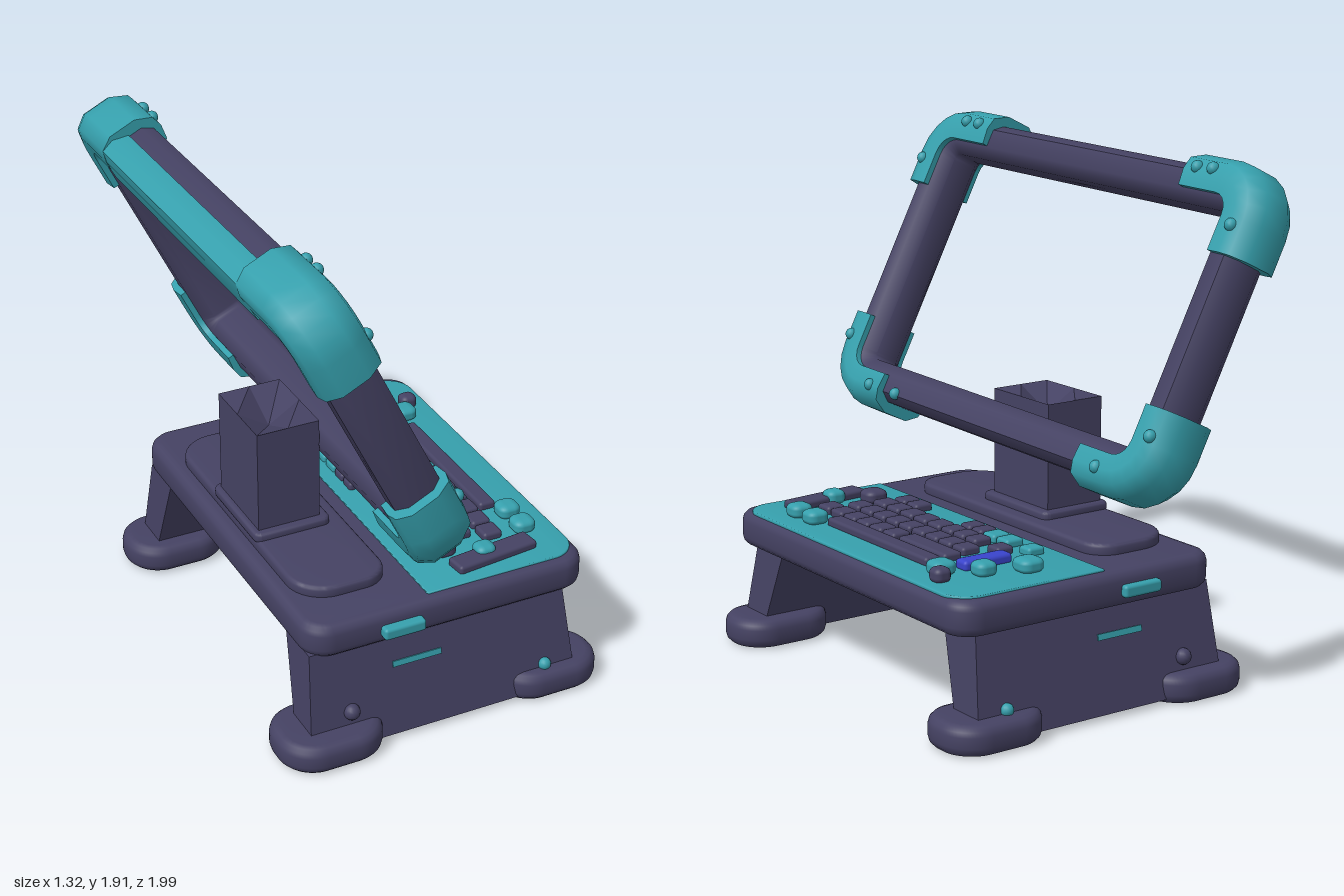
import * as THREE from 'three';
import { toCreasedNormals } from 'three/addons/utils/BufferGeometryUtils.js';
import { RoundedBoxGeometry } from 'three/addons/geometries/RoundedBoxGeometry.js';

export function createModel() {
  const model = new THREE.Group();
  const mat = (name, color) => {
    const m = new THREE.MeshStandardMaterial({ color });
    m.name = name;
    return m;
  };
  const dark = mat('dark purple', 0x454263);
  const teal = mat('teal', 0x36a0ad);
  const blue = mat('display blue', 0x3a44cc);

  const add = (name, geo, material, parent = model) => {
    const mesh = new THREE.Mesh(geo, material);
    mesh.name = name;
    parent.add(mesh);
    return mesh;
  };

  // Horizontal rounded plate with softened edges
  function plate(name, [x0, x1], [z0, z1], [y0, y1], r, bevel, material) {
    const w = (x1 - x0) / 2 - bevel, d = (z1 - z0) / 2 - bevel;
    const radii = Array.isArray(r) ? r : [r, r]; // back side, keyboard side
    const [a, b] = radii.map((v) => Math.max(v - bevel, 0.005));
    const s = new THREE.Shape();
    s.absarc(w - b, d - b, b, 0, Math.PI / 2);
    s.absarc(-w + a, d - a, a, Math.PI / 2, Math.PI);
    s.absarc(-w + a, -d + a, a, Math.PI, Math.PI * 1.5);
    s.absarc(w - b, -d + b, b, Math.PI * 1.5, Math.PI * 2);
    const geo = new THREE.ExtrudeGeometry(s, {
      depth: y1 - y0 - 2 * bevel, bevelEnabled: bevel > 0,
      bevelSize: bevel, bevelThickness: bevel, bevelSegments: 3, curveSegments: 8,
    });
    geo.rotateX(-Math.PI / 2).translate((x0 + x1) / 2, y0 + bevel, (z0 + z1) / 2);
    return add(name, toCreasedNormals(geo, 0.7), material);
  }

  // Sweep a section [outward, depth] along a path of {p, n} in the frame plane
  function sweep(path, section, closed) {
    const pos = [], idx = [], k = section.length;
    for (const { p, n } of path)
      for (const [a, d] of section) pos.push(p[0] + n[0] * a, p[1] + n[1] * a, d);
    const rings = closed ? path.length : path.length - 1;
    for (let i = 0; i < rings; i++)
      for (let j = 0; j < k; j++) {
        const a = i * k + j, b = i * k + (j + 1) % k;
        const c = ((i + 1) % path.length) * k + j, d = ((i + 1) % path.length) * k + (j + 1) % k;
        idx.push(a, b, c, b, d, c);
      }
    if (!closed) {
      const e = (path.length - 1) * k;
      for (let j = 1; j < k - 1; j++) idx.push(0, j + 1, j, e, e + j, e + j + 1);
    }
    const geo = new THREE.BufferGeometry();
    geo.setAttribute('position', new THREE.Float32BufferAttribute(pos, 3));
    geo.setIndex(idx);
    return toCreasedNormals(geo, 0.85);
  }
  const U = 0.88, V = 0.502;
  const corner = (q, r) => {
    const sx = q === 0 || q === 3 ? 1 : -1, sy = q < 2 ? 1 : -1, out = [];
    for (let i = 0; i <= 5; i++) {
      const t = (q + i / 5) * Math.PI / 2, n = [Math.cos(t), Math.sin(t)];
      out.push({ p: [sx * (U - r) + n[0] * r, sy * (V - r) + n[1] * r], n });
    }
    return out;
  };

  // Base slab, keyboard plate and raised pad
  plate('baseSlab', [-0.5, 0.6], [-0.75, 0.73], [0.385, 0.512], 0.1, 0.035, dark);
  plate('keyboardPlate', [-0.03, 0.58], [-0.71, 0.69], [0.505, 0.519], [0.01, 0.1], 0.004, teal);
  plate('standPad', [-0.445, -0.1], [-0.58, 0.56], [0.5, 0.552], [0.14, 0.1], 0.015, dark);
  plate('postFoot', [-0.45, -0.155], [-0.2, 0.19], [0.54, 0.58], 0.03, 0.012, dark);

  // Post with a shallow pit in its top
  const post = new THREE.BoxGeometry(0.24, 0.41, 0.33, 2, 1, 2);
  const pp = post.attributes.position;
  for (let i = 0; i < pp.count; i++)
    if (pp.getY(i) > 0.2 && Math.abs(pp.getX(i)) < 0.01 && Math.abs(pp.getZ(i)) < 0.01) pp.setY(i, 0.13);
  post.translate(-0.308, 0.765, -0.006);
  add('post', toCreasedNormals(post, 0.3), dark);

  // Leg panels: splayed outward and wider at the bottom
  for (const s of [1, -1]) {
    const side = s > 0 ? 'front' : 'back';
    const leg = new THREE.BoxGeometry(1, 1, 1), lp = leg.attributes.position;
    for (let i = 0; i < lp.count; i++) {
      const low = lp.getY(i) < 0, outer = lp.getZ(i) * s > 0;
      const x = lp.getX(i) > 0 ? (low ? 0.54 : 0.505) : (low ? -0.515 : -0.49);
      const z = outer ? (low ? 0.77 : 0.7) : (low ? 0.64 : 0.515);
      lp.setXYZ(i, x, low ? 0.02 : 0.4, s * z);
    }
    add(side + 'Leg', toCreasedNormals(leg, 0.3), dark);

    // Feet
    const inner = 0.54 * s, tipBack = s > 0 ? 0.85 : -0.825, tipFront = s > 0 ? 0.81 : -0.83;
    const span = (a, b) => [Math.min(a, b), Math.max(a, b)];
    plate(side + 'FootRear', [-0.62, -0.23], span(inner, tipBack), [0, 0.108], 0.135, 0.035, dark);
    plate(side + 'FootKeySide', [0.26, 0.65], span(inner, tipFront), [0, 0.108], 0.13, 0.035, dark);

    // Side button, slot and bolts
    add(side + 'Button', new RoundedBoxGeometry(0.16, 0.045, 0.06, 2, 0.012), teal)
      .position.set(-0.15, 0.443, s > 0 ? 0.735 : -0.745);
    const slot = add(side + 'Slot', new THREE.BoxGeometry(0.19, 0.022, 0.008), teal);
    slot.position.set(-0.085, 0.285, s * 0.722);
    slot.rotation.x = -s * 0.18;
    add(side + 'DarkBolt', new THREE.SphereGeometry(0.03, 14, 10), dark).position.set(-0.35, 0.155, s * 0.748);
    add(side + 'TealBolt', new THREE.SphereGeometry(0.024, 14, 10), teal).position.set(0.415, 0.12, s * 0.755);
  }

  // Tilted screen frame: local x = -z, local y = up the slope, local z = out of the face
  const frame = new THREE.Group();
  frame.name = 'screenFrame';
  const tilt = 0.457, c = Math.cos(tilt), sn = Math.sin(tilt);
  const basis = new THREE.Matrix4().makeBasis(
    new THREE.Vector3(0, 0, -1), new THREE.Vector3(-sn, c, 0), new THREE.Vector3(c, sn, 0));
  basis.multiply(new THREE.Matrix4().makeRotationZ(-0.019));
  frame.quaternion.setFromRotationMatrix(basis);
  frame.position.set(-0.315, 1.328, 0);
  model.add(frame);

  const barSection = [[0.065, -0.05], [0.065, 0.05], [0.035, 0.09], [-0.035, 0.09],
    [-0.075, 0.05], [-0.075, -0.05], [-0.035, -0.09], [0.035, -0.09]].reverse();
  add('frameBars', sweep([0, 1, 2, 3].flatMap((q) => corner(q, 0.1)), barSection, true), dark, frame);

  // Corner guards
  const guardSection = [[0.107, -0.06], [0.107, 0.045], [0.075, 0.105], [0.03, 0.118],
    [-0.03, 0.112], [-0.03, -0.112], [0.03, -0.118], [0.075, -0.108]].reverse();
  const ends = [0.585, 0.58, 0.615, 0.61];
  for (let q = 0; q < 4; q++) {
    const arc = corner(q, 0.1), sx = q === 0 || q === 3 ? 1 : -1, sy = q < 2 ? 1 : -1;
    const sideEnd = { p: [sx * U, sy * 0.275], n: [sx, 0] };
    const flatEnd = { p: [sx * ends[q], sy * V], n: [0, sy] };
    const path = q % 2 ? [flatEnd, ...arc, sideEnd] : [sideEnd, ...arc, flatEnd];
    add('cornerGuard', sweep(path, guardSection, false), teal, frame);
  }

  // Strip along the back of the top bar
  const strip = [[0.07, 0], [0.09, -0.06], [0.075, -0.108], [0.03, -0.116], [-0.06, -0.112], [-0.06, -0.05], [0.04, -0.03]];
  add('topBackStrip', sweep([0.62, -0.62].map((x) => ({ p: [x, V], n: [0, 1] })), strip, false), teal, frame);

  // Guard bolts
  const bolts = [[-0.73, 0.545], [-0.65, 0.545], [-0.92, 0.37], [0.645, 0.545], [0.725, 0.55], [0.915, 0.375],
    [-0.925, -0.37], [-0.68, -0.53], [-0.535, -0.53], [0.93, -0.375], [0.73, -0.53]];
  for (const [u, v] of bolts)
    add('guardBolt', new THREE.SphereGeometry(0.023, 12, 8), teal, frame).position.set(u, v, u === -0.535 ? 0.09 : 0.112);

  // Keys: centre x, z, width, depth
  const key = (name, x, z, w, d, material, h = 0.035) => {
    const m = add(name, new RoundedBoxGeometry(w, h, d, 2, Math.min(w, d, h) * 0.35), material);
    m.position.set(x, 0.512 + h / 2, z);
    return m;
  };
  const column = (x, z0, z1, n, material = dark) => {
    const step = (z1 - z0) / n;
    for (let i = 0; i < n; i++) key('key', x, z0 + step * (i + 0.5), 0.075, step * 0.9, material);
  };
  column(0.06, -0.32, -0.16, 2, teal);
  column(0.06, -0.16, -0.02, 2);
  column(0.06, 0.25, 0.41, 2);
  column(0.145, -0.245, -0.02, 3);
  column(0.145, -0.02, 0.425, 5);
  column(0.24, -0.31, 0.45, 9);
  column(0.338, -0.02, 0.5, 6);
  key('key', 0.06, -0.41, 0.07, 0.065, teal);
  key('key', 0.145, -0.34, 0.07, 0.07, dark);
  key('longKey', 0.335, -0.185, 0.075, 0.29, dark);
  key('spaceBar', 0.418, -0.01, 0.065, 0.64, dark);
  key('wideBar', 0.285, 0.585, 0.33, 0.085, dark).rotation.y = 0.11;
  key('display', 0.275, -0.425, 0.2, 0.065, blue, 0.04);

  // Rounded knobs: x, z, size, material
  const knobs = [[0.19, -0.565, 0.095, teal], [0.34, -0.515, 0.08, teal], [0.45, -0.42, 0.09, teal],
    [0.503, -0.492, 0.065, dark], [0.465, 0.365, 0.085, teal], [0.465, 0.475, 0.085, teal],
    [0.26, 0.565, 0.075, teal], [0.135, 0.485, 0.09, dark]];
  for (const [x, z, s, m] of knobs) {
    const g = new RoundedBoxGeometry(s, s, s, 3, s * 0.36);
    g.scale(1, 0.055 / s, 1);
    add('knob', g, m).position.set(x, 0.54, z);
  }
  return model;
}
